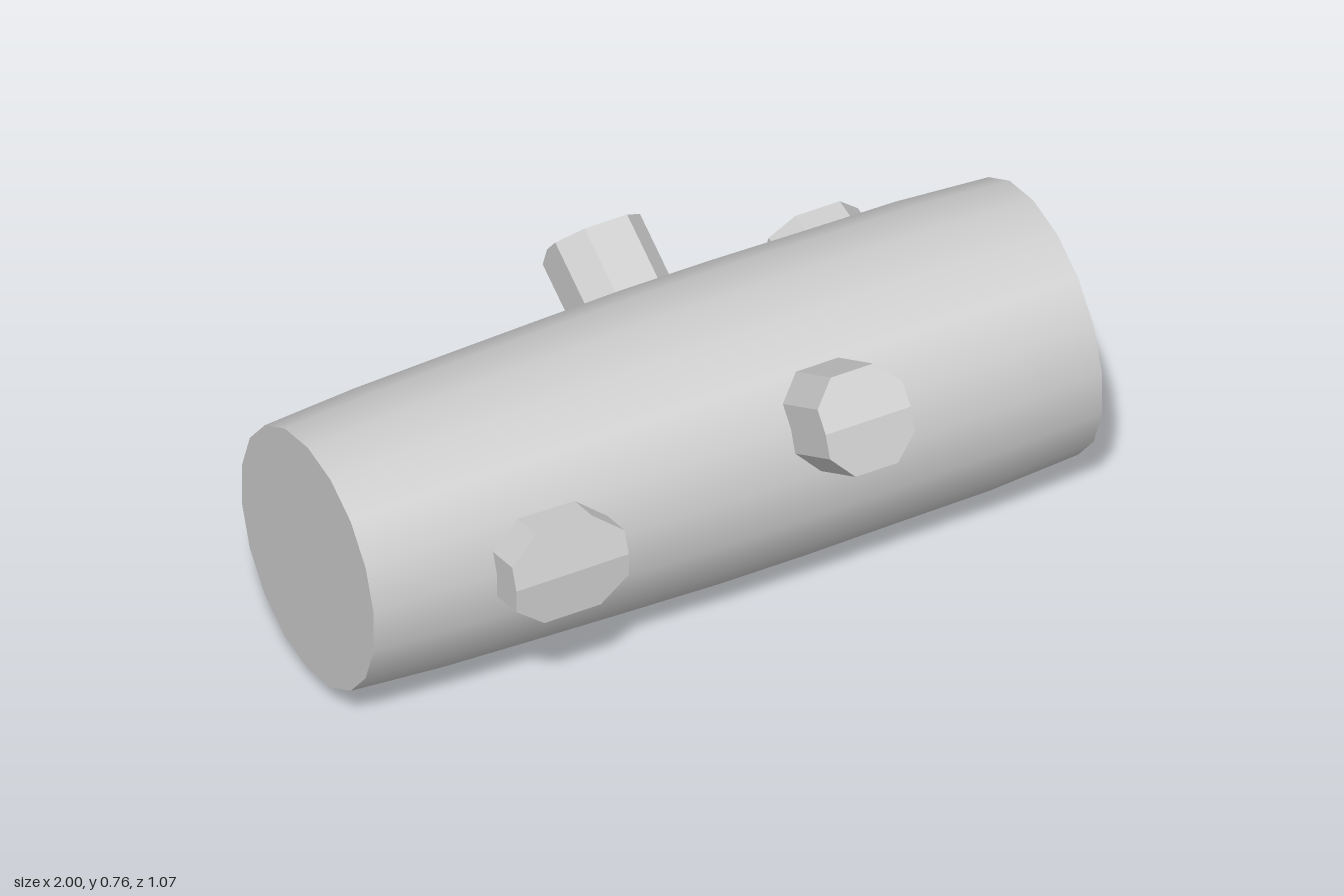
import * as THREE from 'three';
import { ConvexGeometry } from 'three/addons/geometries/ConvexGeometry.js';

const CENTER_Y = 0.382, CENTER_Z = -0.012;
// trunk radius at even steps from x = -1 to x = 1
const RADII = [0.338, 0.354, 0.362, 0.369, 0.375, 0.375, 0.371, 0.368, 0.353];

// Long 18-sided log that bulges slightly in the middle, lying along x
function trunkGeometry() {
  const steps = RADII.length - 1;
  const geo = new THREE.CylinderGeometry(1, 1, 2, 18, steps, false, Math.PI / 2);
  const pos = geo.attributes.position;
  for (let i = 0; i < pos.count; i++) {
    const r = RADII[Math.round((pos.getY(i) + 1) / 2 * steps)];
    pos.setX(i, pos.getX(i) * r);
    pos.setZ(i, pos.getZ(i) * r);
  }
  geo.rotateZ(-Math.PI / 2);
  return geo;
}

// Cut branch: octagonal prism pointing along z, its end folded along the middle
function stubGeometry(halfWidth, halfHeight, reach) {
  const slope = Math.tan(Math.PI / 18);
  const outline = [[1, 0], [1, 0.5], [0.5, 1], [-0.5, 1], [-1, 0.5],
    [-1, 0], [-1, -0.5], [-0.5, -1], [0.5, -1], [1, -0.5]];
  const points = [];
  for (const [u, v] of outline) {
    const x = u * halfWidth, y = v * halfHeight;
    points.push(new THREE.Vector3(x, y, 0.25));
    points.push(new THREE.Vector3(x, y, reach - slope * Math.abs(y)));
  }
  return new ConvexGeometry(points);
}

export function createModel() {
  const group = new THREE.Group();
  const wood = new THREE.MeshStandardMaterial({ color: 0xcccccc });
  const cutWood = new THREE.MeshStandardMaterial({ color: 0xcccccc, flatShading: true });

  const trunk = new THREE.Mesh(trunkGeometry(), wood);
  trunk.name = 'trunk';
  trunk.position.set(0, CENTER_Y, CENTER_Z);
  group.add(trunk);

  // name, x, elevation in degrees, on the back, half width, half height, reach from the trunk axis
  const stubs = [
    ['frontLongStub', 0.272, 30, false, 0.117, 0.126, 0.578],
    ['frontShortStub', -0.514, 10, false, 0.155, 0.123, 0.455],
    ['backLongStub', 0.038, 30, true, 0.117, 0.127, 0.554],
    ['backShortStub', 0.623, 10, true, 0.123, 0.123, 0.45],
  ];
  for (const [name, x, elevation, back, halfWidth, halfHeight, reach] of stubs) {
    const stub = new THREE.Mesh(stubGeometry(halfWidth, halfHeight, reach), cutWood);
    stub.name = name;
    stub.position.set(x, CENTER_Y, CENTER_Z);
    stub.rotation.set(-THREE.MathUtils.degToRad(elevation), back ? Math.PI : 0, 0, 'YXZ');
    group.add(stub);
  }
  return group;
}
